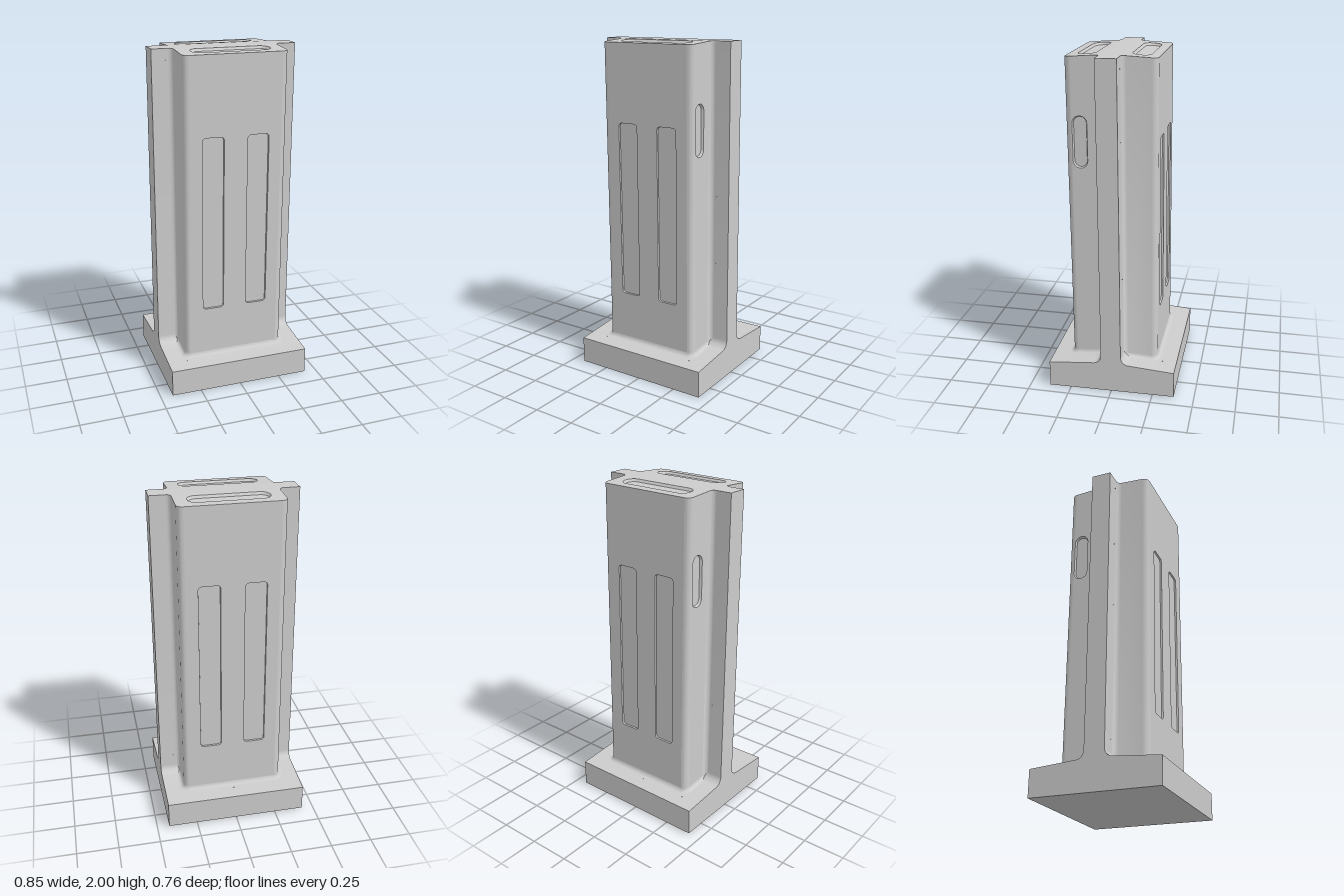
import * as THREE from 'three';
import { mergeGeometries, toCreasedNormals } from 'three/addons/utils/BufferGeometryUtils.js';

const material = new THREE.MeshStandardMaterial({ color: 0xcccccc });
const HALF_X = 0.427, WEB_Z = 0.06, BLOCK_X = 0.305, BLOCK_Z = 0.26;
const CORNER = 0.035, FILLET = 0.025, TOP = 1.996, ARC = 6;

// sloping upper faces of the base plate and of the block
const baseY = z => 0.159 + (0.38 - z) * 0.08;
const roofY = z => TOP - 0.0125 * (z - WEB_Z) / (BLOCK_Z - WEB_Z);
const footY = z => baseY(z) + FILLET;

function mesh(geometry, name) {
  const m = new THREE.Mesh(toCreasedNormals(geometry, 0.5), material);
  m.name = name;
  return m;
}

function fromTriangles(points) {
  const g = new THREE.BufferGeometry().setFromPoints(points);
  g.computeVertexNormals();
  return g;
}

// rounded rectangle as a counter-clockwise list of points
function roundedRect(cx, cy, w, h, r) {
  const points = [];
  [[1, 1], [-1, 1], [-1, -1], [1, -1]].forEach(([sx, sy], q) => {
    for (let i = 0; i <= 8; i++) {
      const a = (q + i / 8) * Math.PI / 2;
      points.push(new THREE.Vector2(
        cx + sx * (w / 2 - r) + r * Math.cos(a), cy + sy * (h / 2 - r) + r * Math.sin(a)));
    }
  });
  return points;
}

// flat face in the xy plane with shallow pockets sunk towards -z
function pocketedFace(outline, pockets, depth, taper) {
  const face = new THREE.Shape(outline);
  const parts = [];
  for (const [cx, cy, w, h, r] of pockets) {
    const rim = roundedRect(cx, cy, w, h, r);
    const inner = roundedRect(cx, cy, w - 2 * taper, h - 2 * taper, r - taper);
    face.holes.push(new THREE.Path(rim));
    const tris = [];
    rim.forEach((p, i) => {
      const j = (i + 1) % rim.length;
      const A = new THREE.Vector3(p.x, p.y, 0), B = new THREE.Vector3(rim[j].x, rim[j].y, 0);
      const a = new THREE.Vector3(inner[i].x, inner[i].y, -depth);
      const b = new THREE.Vector3(inner[j].x, inner[j].y, -depth);
      tris.push(A, B, b, A, b, a);
    });
    parts.push(fromTriangles(tris));
    parts.push(new THREE.ShapeGeometry(new THREE.Shape(inner)).translate(0, 0, -depth));
  }
  parts.push(new THREE.ShapeGeometry(face));
  return mergeGeometries(parts.map(g => {
    const n = g.index ? g.toNonIndexed() : g;
    n.deleteAttribute('uv');
    return n;
  }));
}

// base plate and thin web as one inverted T section, filleted at the root
function webAndBase() {
  const r = 0.045, side = [[0.38, 0], [0.38, baseY(0.38)]];
  for (let i = 0; i <= 8; i++) {
    const a = i / 8 * Math.PI / 2, z = WEB_Z + r * (1 - Math.sin(a));
    side.push([z, baseY(z) + r * (1 - Math.cos(a))]);
  }
  side.push([WEB_Z, TOP]);
  const points = [...side, ...side.map(([z, y]) => [-z, y]).reverse()];
  const shape = new THREE.Shape(points.map(p => new THREE.Vector2(...p)));
  const g = new THREE.ExtrudeGeometry(shape, { depth: 2 * HALF_X, bevelEnabled: false });
  return mesh(g.translate(0, 0, -HALF_X).rotateY(Math.PI / 2), 'baseAndWeb');
}

// plan outline of half the block, with outward normals, from right to left
function blockOutline() {
  const right = [];
  for (let i = 0; i <= ARC; i++) { // concave corner against the web
    const a = i / ARC * Math.PI / 2, nx = Math.sin(a), nz = Math.cos(a);
    right.push({ x: BLOCK_X + FILLET * (1 - nx), z: WEB_Z + FILLET * (1 - nz), nx, nz });
  }
  for (let i = 0; i <= ARC; i++) { // rounded outer corner
    const a = i / ARC * Math.PI / 2, nx = Math.cos(a), nz = Math.sin(a);
    right.push({ x: BLOCK_X - CORNER * (1 - nx), z: BLOCK_Z - CORNER * (1 - nz), nx, nz });
  }
  return [...right, ...right.map(p => ({ ...p, x: -p.x, nx: -p.nx })).reverse()];
}

function halfBlock() {
  const half = new THREE.Group();
  half.name = 'halfBlock';
  const outline = blockOutline();

  // walls: filleted foot all round, then straight up where no pocketed face sits
  const rows = [];
  for (let k = 0; k <= 6; k++) {
    const a = k / 6 * Math.PI / 2, d = FILLET * (1 - Math.sin(a)), h = FILLET * (1 - Math.cos(a));
    rows.push(outline.map(p => new THREE.Vector3(p.x + p.nx * d, baseY(p.z) + h, p.z + p.nz * d)));
  }
  rows.push(outline.map(p => new THREE.Vector3(p.x, roofY(p.z), p.z)));
  const sideSegment = ARC, frontSegment = 2 * ARC + 1, tris = [];
  for (let k = 0; k < rows.length - 1; k++) {
    for (let i = 0; i < outline.length - 1; i++) {
      if (k === rows.length - 2 && (i === sideSegment || i === frontSegment)) continue;
      const [p, q] = [rows[k], rows[k + 1]];
      tris.push(p[i + 1], p[i], q[i], p[i + 1], q[i], q[i + 1]);
    }
  }
  half.add(mesh(fromTriangles(tris), 'blockWalls'));

  // broad face with two long panels
  const fx = BLOCK_X - CORNER, v = (x, y) => new THREE.Vector2(x, y);
  const front = pocketedFace(
    [v(-fx, footY(BLOCK_Z)), v(fx, footY(BLOCK_Z)), v(fx, roofY(BLOCK_Z)), v(-fx, roofY(BLOCK_Z))],
    [-1, 1].map(s => [s * 0.134, 1.0, 0.128, 1.05, 0.02]), 0.01, 0.002);
  half.add(mesh(front.translate(0, 0, BLOCK_Z), 'panelFace'));

  // narrow side face with one upright slot
  const z0 = WEB_Z + FILLET, z1 = BLOCK_Z - CORNER;
  const side = pocketedFace(
    [v(-z1, footY(z1)), v(-z0, footY(z0)), v(-z0, roofY(z0)), v(-z1, roofY(z1))],
    [[-0.18, 1.51, 0.085, 0.3, 0.042]], 0.014, 0.006);
  half.add(mesh(side.rotateY(Math.PI / 2).translate(BLOCK_X, 0, 0), 'slottedSide'));

  // sloping roof with a long rounded recess
  const roof = pocketedFace(outline.map(p => v(p.x, -p.z)),
    [[0, -0.153, 0.464, 0.106, 0.052]], 0.014, 0.01).rotateX(-Math.PI / 2);
  const pos = roof.attributes.position;
  for (let i = 0; i < pos.count; i++) pos.setY(i, pos.getY(i) + roofY(pos.getZ(i)));
  half.add(mesh(roof, 'recessedRoof'));

  // small pins in the base plate and along the web
  for (const x of [-0.308, 0, 0.308]) {
    const g = new THREE.CylinderGeometry(0.004, 0.004, 0.004, 12);
    half.add(mesh(g.translate(x, baseY(0.295) - 0.001, 0.295), 'basePin'));
  }
  for (const x of [-0.345, 0.345]) {
    for (const y of [0.3, 0.705, 1.115, 1.525, 1.93]) {
      const g = new THREE.CylinderGeometry(0.003, 0.003, 0.004, 12).rotateX(Math.PI / 2);
      half.add(mesh(g.translate(x, y, WEB_Z - 0.001), 'webPin'));
    }
  }
  return half;
}

export function createModel() {
  const body = new THREE.Group();
  body.name = 'pillar';
  const front = halfBlock();
  const back = front.clone();
  front.name = 'frontBlock';
  back.name = 'backBlock';
  back.rotation.y = Math.PI;
  body.add(webAndBase(), front, back);

  // the whole pillar leans very slightly forward
  body.rotation.x = 0.01;
  body.position.y = 0.004;
  const model = new THREE.Group();
  model.add(body);
  return model;
}
